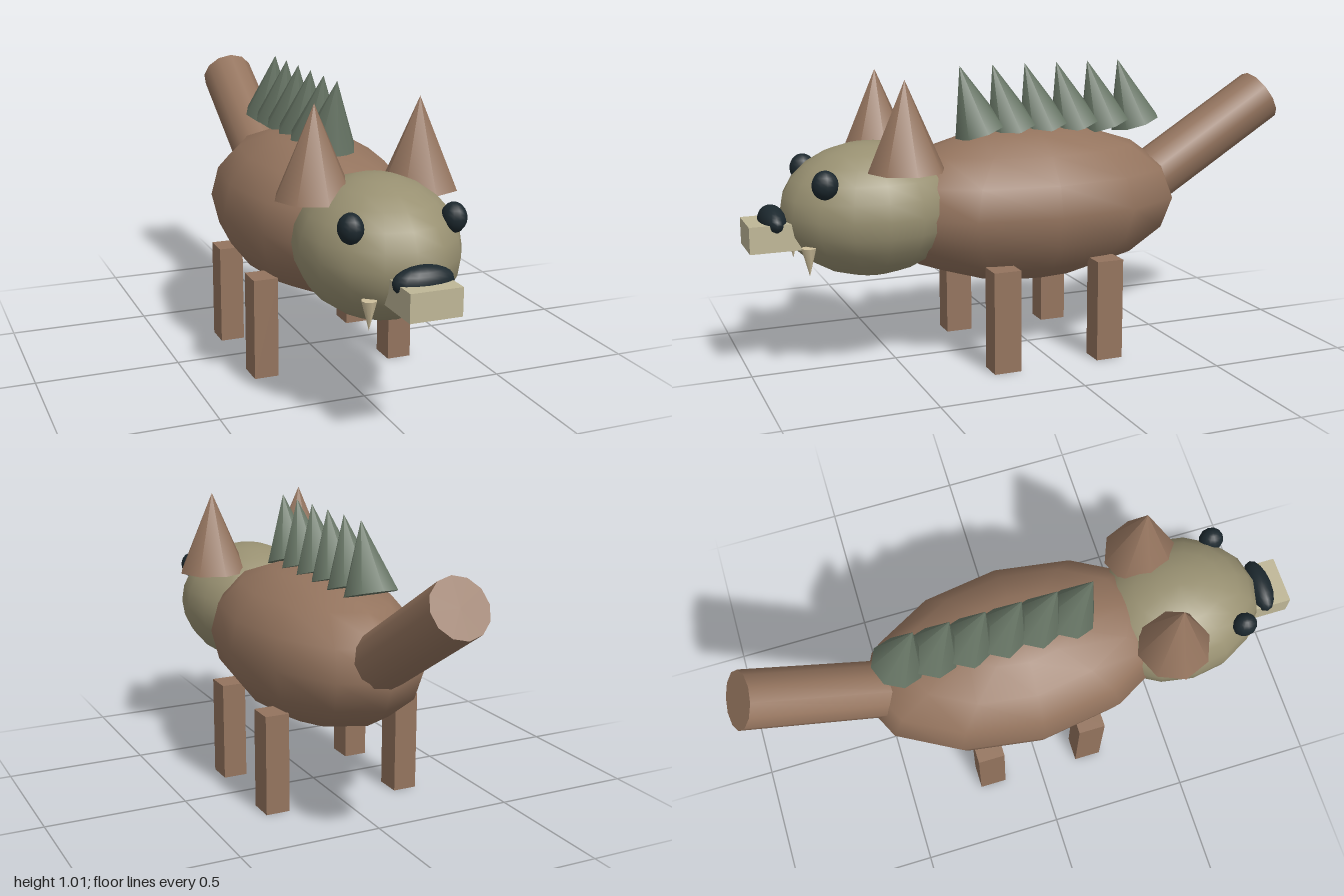
import * as THREE from 'three';

const mat = (color) => new THREE.MeshStandardMaterial({ color });

export function createModel() {
  const model = new THREE.Group();
  const brown = mat(0x94745e), olive = mat(0x999172), green = mat(0x667464);
  const dark = mat(0x1c282e), bone = mat(0xbfb797), ivory = mat(0xcfc09c);

  const add = (name, geometry, material, x, y, z) => {
    const mesh = new THREE.Mesh(geometry, material);
    mesh.name = name;
    mesh.position.set(x, y, z);
    model.add(mesh);
    return mesh;
  };
  const ellipsoid = (rx, ry, rz, w, h) => new THREE.SphereGeometry(1, w, h).scale(rx, ry, rz);

  // Body and head
  add('body', ellipsoid(0.32, 0.275, 0.575, 12, 8), brown, 0, 0.525, 0);
  add('head', ellipsoid(0.26, 0.228, 0.31, 16, 12), olive, 0, 0.548, 0.575);

  // Snout: dark nose over a pale muzzle block
  add('nose', ellipsoid(0.1, 0.05, 0.045, 16, 12), dark, 0, 0.532, 0.91);
  add('muzzle', new THREE.BoxGeometry(0.17, 0.09, 0.2), bone, 0, 0.488, 0.9);

  // Paired parts, mirrored left and right
  for (const [side, s] of [['left', 1], ['right', -1]]) {
    add(side + 'Eye', ellipsoid(0.04, 0.048, 0.044, 12, 10), dark, s * 0.17, 0.67, 0.767);
    add(side + 'Ear', new THREE.ConeGeometry(0.13, 0.297, 8), brown, s * 0.18, 0.848, 0.5);
    add(side + 'Tusk', new THREE.ConeGeometry(0.025, 0.095, 8), ivory, s * 0.13, 0.412, 0.818)
      .rotation.x = Math.PI;
    for (const [end, z] of [['Front', 0.19], ['Back', -0.19]]) {
      add(side + end + 'Leg', new THREE.BoxGeometry(0.086, 0.354, 0.096), brown, s * 0.25, 0.177, z);
    }
  }

  // Row of forward-leaning spikes along the back
  for (let i = 0; i < 6; i++) {
    add('backSpike' + (i + 1), new THREE.ConeGeometry(0.093, 0.24, 8), green, 0, 0.9, 0.215 - i * 0.12)
      .rotation.x = 0.3;
  }

  // Tail rising to the rear
  add('tail', new THREE.CylinderGeometry(0.1, 0.1, 0.6, 12), brown, 0, 0.7, -0.692)
    .rotation.x = -1.02;

  return model;
}
